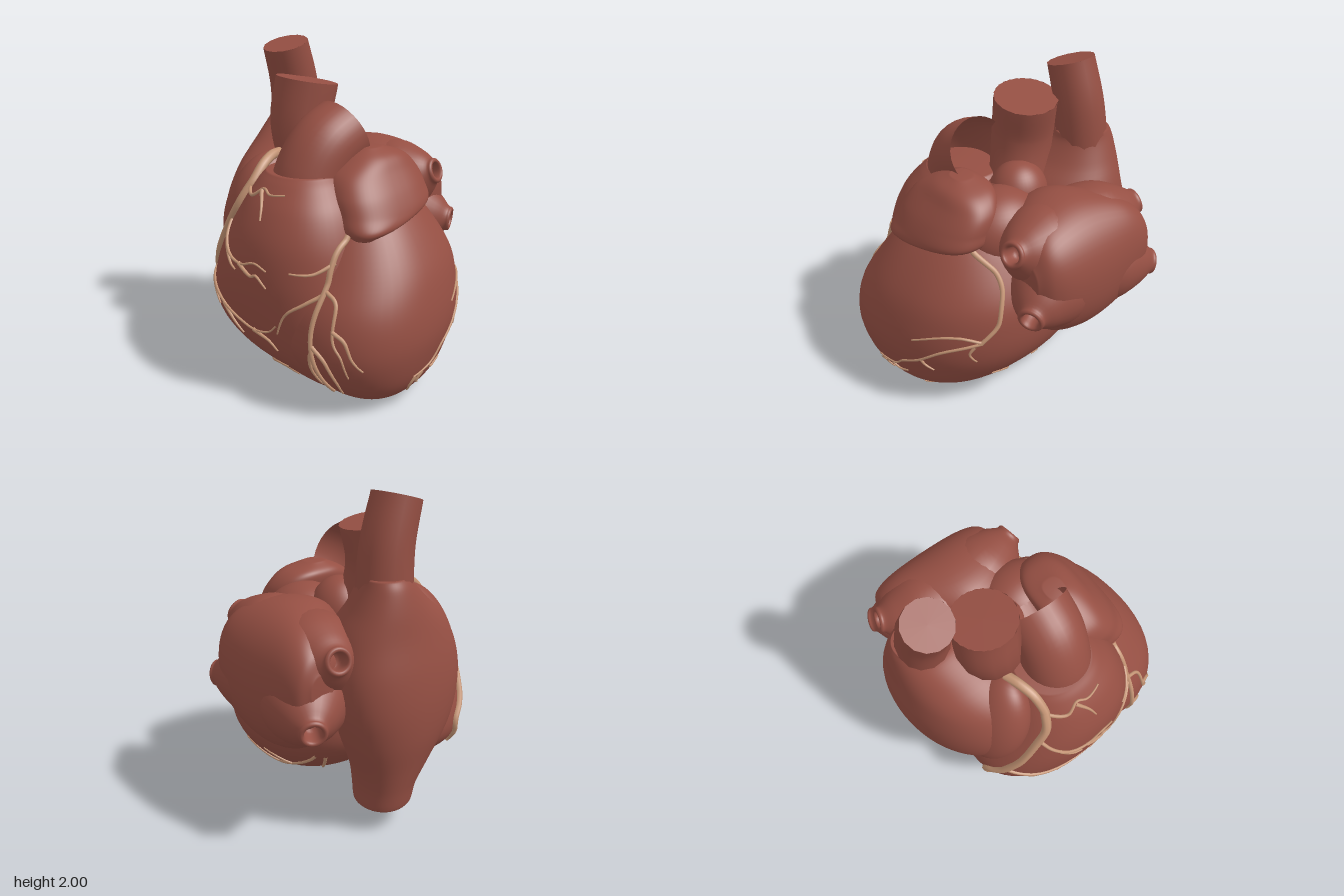
import * as THREE from 'three';

const V = (x, y, z) => new THREE.Vector3(x, y, z);

// Smooth closed body from stacked rounded sections [y, xMin, xMax, zMin, zMax];
// lean slides x along with z
function loft(sections, power = 2.2, lean = 0, rings = 60, sides = 56) {
  const spline = new THREE.CubicInterpolant(sections.map((_, i) => i), sections.flat(), 5);
  const pos = [], index = [];
  const round = (c) => Math.sign(c) * Math.abs(c) ** (2 / power);
  for (let i = 0; i <= rings; i++) {
    const [y, x0, x1, z0, z1] = spline.evaluate((i / rings) * (sections.length - 1));
    for (let j = 0; j < sides; j++) {
      const a = (j / sides) * Math.PI * 2;
      const z = (z0 + z1) / 2 + round(Math.sin(a)) * (z1 - z0) / 2;
      pos.push((x0 + x1) / 2 + round(Math.cos(a)) * (x1 - x0) / 2 + lean * z, y, z);
      if (i < rings) {
        const p = i * sides + j, q = i * sides + (j + 1) % sides;
        index.push(p, p + sides, q, q, p + sides, q + sides);
      }
    }
  }
  const bottom = pos.length / 3, last = rings * sides;
  for (const [y, x0, x1, z0, z1] of [sections[0], sections[sections.length - 1]]) {
    const z = (z0 + z1) / 2;
    pos.push((x0 + x1) / 2 + lean * z, y, z);
  }
  for (let j = 0; j < sides; j++) {
    const k = (j + 1) % sides;
    index.push(bottom, j, k, bottom + 1, last + k, last + j);
  }
  const g = new THREE.BufferGeometry();
  g.setAttribute('position', new THREE.Float32BufferAttribute(pos, 3));
  g.setIndex(index);
  g.computeVertexNormals();
  return g;
}

// Tube whose radius runs from r0 to r1
function taperedTube(curve, r0, r1, segments, sides) {
  const g = new THREE.TubeGeometry(curve, segments, 1, sides);
  const p = g.attributes.position, v = V();
  for (let i = 0; i <= segments; i++) {
    const c = curve.getPointAt(i / segments), r = THREE.MathUtils.lerp(r0, r1, i / segments);
    for (let j = 0; j <= sides; j++) {
      const k = i * (sides + 1) + j;
      v.fromBufferAttribute(p, k).sub(c).multiplyScalar(r).add(c);
      p.setXYZ(k, v.x, v.y, v.z);
    }
  }
  return g;
}

export function createModel() {
  const heart = new THREE.Group();
  heart.name = 'heart';
  const muscle = new THREE.MeshStandardMaterial({ color: 0x954f43, side: THREE.DoubleSide });
  muscle.name = 'muscleRed';
  const artery = new THREE.MeshStandardMaterial({ color: 0xc49474 });
  artery.name = 'arteryTan';
  const add = (name, geometry, material = muscle, parent = heart) => {
    const m = new THREE.Mesh(geometry, material);
    m.name = name;
    parent.add(m);
    return m;
  };
  const ball = (name, at, size, tilt = 0) => {
    const m = add(name, new THREE.SphereGeometry(1, 40, 28));
    m.position.set(...at);
    m.scale.set(...size);
    m.rotation.z = tilt;
    return m;
  };

  // Ventricles
  const leftVentricle = add('leftVentricle', loft([
    [0.005, 0.38, 0.55, 0.02, 0.24], [0.05, 0.15, 0.67, -0.15, 0.45], [0.15, -0.1, 0.755, -0.33, 0.59],
    [0.3, -0.3, 0.805, -0.47, 0.69], [0.45, -0.4, 0.825, -0.55, 0.715], [0.62, -0.42, 0.805, -0.57, 0.68],
    [0.8, -0.4, 0.745, -0.54, 0.58], [1.0, -0.35, 0.62, -0.42, 0.46], [1.15, -0.25, 0.48, -0.3, 0.36],
    [1.27, -0.1, 0.3, -0.15, 0.25]], 2.3, 0.14));
  const rightVentricle = add('rightVentricle', loft([
    [0.025, 0.2, 0.52, 0.15, 0.38], [0.08, 0.02, 0.59, 0.05, 0.52], [0.15, -0.22, 0.62, 0, 0.6],
    [0.25, -0.46, 0.63, -0.05, 0.69], [0.38, -0.6, 0.61, -0.08, 0.75], [0.55, -0.61, 0.57, -0.1, 0.785],
    [0.75, -0.53, 0.52, -0.1, 0.795], [0.95, -0.42, 0.47, -0.08, 0.765], [1.12, -0.33, 0.4, -0.02, 0.69],
    [1.24, -0.26, 0.31, 0.05, 0.6], [1.3, -0.21, 0.25, 0.1, 0.54]]));

  // Right atrium, running down into the hollow end of the lower vein
  const rightAtrium = add('rightAtrium', loft([
    [0.24, -0.64, -0.4, -0.22, 0.02], [0.17, -0.69, -0.35, -0.27, 0.07], [0.15, -0.71, -0.33, -0.29, 0.09],
    [0.27, -0.735, -0.31, -0.3, 0.12], [0.4, -0.77, -0.28, -0.33, 0.24], [0.6, -0.82, -0.2, -0.4, 0.44],
    [0.8, -0.835, -0.15, -0.45, 0.53], [1.0, -0.82, -0.12, -0.46, 0.53], [1.2, -0.78, -0.14, -0.42, 0.42],
    [1.36, -0.745, -0.27, -0.35, 0.2], [1.48, -0.71, -0.35, -0.3, 0.05], [1.54, -0.68, -0.37, -0.28, 0]],
  2.1, 0.19));
  const rightAuricle = ball('rightAuricle', [-0.41, 0.95, 0.31], [0.19, 0.42, 0.26], -0.34);

  // Left atrium: pillow lofted sideways, sections [x, -yMax, -yMin, zMin, zMax]
  add('leftAtrium', loft([
    [-0.59, -1.08, -0.9, -0.68, -0.54], [-0.54, -1.2, -0.74, -0.75, -0.42], [-0.4, -1.3, -0.57, -0.785, -0.28],
    [-0.15, -1.36, -0.46, -0.8, -0.05], [0.08, -1.33, -0.52, -0.785, -0.12], [0.21, -1.25, -0.67, -0.74, -0.32],
    [0.28, -1.12, -0.86, -0.66, -0.47]]).rotateZ(-Math.PI / 2));
  // Left auricle and the wall joining it to the atrium
  add('leftAuricle', loft([
    [0.985, 0.36, 0.56, 0.26, 0.4], [1.03, 0.27, 0.605, 0.02, 0.42], [1.1, 0.2, 0.59, -0.25, 0.41],
    [1.2, 0.15, 0.54, -0.28, 0.39], [1.3, 0.13, 0.47, -0.26, 0.33], [1.38, 0.13, 0.41, -0.18, 0.21],
    [1.43, 0.2, 0.32, -0.03, 0.1]], 2.5));
  ball('atrialBridge', [0.12, 1.1, -0.15], [0.28, 0.25, 0.25]);

  // Four lung veins: broad flared stubs with hollow lipped ends
  const veinProfile = [[0.27, 0], [0.27, 0.25], [0.235, 0.55], [0.15, 0.8], [0.088, 0.93], [0.08, 0.98],
    [0.066, 1], [0.05, 0.97], [0.045, 0.8], [0, 0.75]];
  const veins = [
    [V(-0.1, 1.04, -0.42), V(0.35, 1.19, -0.51)], [V(-0.1, 0.88, -0.46), V(0.35, 0.82, -0.68)],
    [V(-0.2, 1.04, -0.42), V(-0.65, 1.16, -0.54)], [V(-0.2, 0.88, -0.46), V(-0.65, 0.79, -0.72)]];
  veins.forEach(([from, to], i) => {
    const axis = to.clone().sub(from), length = axis.length();
    const smooth = new THREE.SplineCurve(veinProfile.map(([r, t]) => new THREE.Vector2(r, t * length)));
    const points = smooth.getPoints(36).map((p) => p.setX(Math.max(p.x, 0)));
    const m = add('lungVein' + (i + 1), new THREE.LatheGeometry(points, 28));
    m.position.copy(from);
    m.quaternion.setFromUnitVectors(V(0, 1, 0), axis.normalize());
  });

  // Great vessels
  const vessel = (name, points, r0, r1, sides, capped) => {
    const curve = new THREE.CatmullRomCurve3(points.map((p) => V(...p)));
    add(name, taperedTube(curve, r0, r1, 24, sides));
    if (!capped) return;
    const cap = add(name + 'End', new THREE.CircleGeometry(r1, sides));
    cap.position.copy(curve.getPointAt(1));
    cap.quaternion.setFromUnitVectors(V(0, 0, 1), curve.getTangentAt(1));
  };
  vessel('upperVein', [[-0.555, 1.4, -0.14], [-0.54, 1.7, -0.105], [-0.53, 1.955, -0.03]], 0.165, 0.145, 14, true);
  vessel('aorta', [[-0.14, 1.05, 0], [-0.23, 1.3, 0.07], [-0.265, 1.52, 0.09], [-0.25, 1.765, 0.05]], 0.19, 0.195, 14, true);
  ball('aorticRoot', [-0.1, 1.2, -0.06], [0.19, 0.22, 0.18]);
  vessel('lungArtery', [[0.04, 1.08, 0.37], [0.05, 1.27, 0.32], [0.07, 1.42, 0.22], [0.08, 1.5, 0.07]], 0.21, 0.21, 32, false);

  // Coronary arteries: flat paths cast onto the heart wall
  const walls = [leftVentricle, rightVentricle, rightAtrium, rightAuricle];
  heart.updateMatrixWorld(true);
  const caster = new THREE.Raycaster();
  const casts = {
    front: (a, b) => [V(a, b, 3), V(0, 0, -1)],
    side: (a, b) => [V(3, b, a), V(-1, 0, 0)],
    below: (a, b) => [V(a, -3, b), V(0, 1, 0)],
  };
  const coronaries = new THREE.Group();
  coronaries.name = 'coronaryArteries';
  heart.add(coronaries);
  const branch = (name, view, r0, r1, path, targets = walls, start = []) => {
    const flat = new THREE.SplineCurve(path.map(([a, b]) => new THREE.Vector2(a, b)));
    const points = [...start];
    for (const p of flat.getPoints(path.length * 4)) {
      caster.set(...casts[view](p.x, p.y));
      const hit = caster.intersectObjects(targets, false)[0];
      if (hit) points.push(hit.point.addScaledVector(caster.ray.direction, -r0 * 0.4));
    }
    if (points.length < 3) return;
    add(name, taperedTube(new THREE.CatmullRomCurve3(points), r0, r1, points.length * 2, 8), artery, coronaries);
  };
  // Right main artery, springing from the aorta, and its lower run
  branch('rightCoronary', 'front', 0.032, 0.02, [[-0.2, 1.22], [-0.24, 1.1], [-0.32, 0.97], [-0.42, 0.8],
    [-0.52, 0.64], [-0.6, 0.5], [-0.585, 0.4], [-0.53, 0.32]], walls,
  [V(-0.27, 1.34, 0.26), V(-0.24, 1.345, 0.35), V(-0.21, 1.31, 0.45)]);
  branch('lowerCoronary', 'front', 0.018, 0.008, [[-0.56, 0.35], [-0.45, 0.28], [-0.3, 0.21], [-0.1, 0.13],
    [0.1, 0.085], [0.3, 0.06], [0.46, 0.05]]);
  // Left front artery in the groove
  branch('leftCoronary', 'front', 0.019, 0.01, [[0.45, 1.01], [0.455, 0.86], [0.46, 0.72], [0.45, 0.5], [0.47, 0.3], [0.49, 0.12]]);
  const frontTwigs = [
    [[-0.21, 1.2], [-0.1, 1.18], [-0.02, 1.23], [0.05, 1.21], [0.15, 1.22]],
    [[-0.03, 1.22], [0.03, 1.15], [0.06, 1.08]],
    [[-0.3, 1.01], [-0.25, 0.92], [-0.15, 0.84], [-0.03, 0.82], [0.08, 0.85], [0.17, 0.82]],
    [[-0.05, 0.82], [0.05, 0.77], [0.1, 0.78], [0.17, 0.72]],
    [[-0.22, 0.89], [-0.14, 0.8], [-0.08, 0.77]],
    [[-0.53, 0.63], [-0.4, 0.57], [-0.25, 0.5], [-0.1, 0.45], [0.03, 0.42], [0.15, 0.44], [0.22, 0.5]],
    [[-0.42, 0.58], [-0.38, 0.5], [-0.34, 0.45]],
    [[-0.25, 0.5], [-0.16, 0.4], [-0.1, 0.34]],
    [[0.03, 0.42], [0.14, 0.38], [0.19, 0.32]],
    [[-0.2, 0.16], [-0.05, 0.14], [0.05, 0.18], [0.2, 0.19]],
    [[0.03, 0.17], [0.1, 0.13], [0.2, 0.11]],
    [[0.46, 0.72], [0.38, 0.66], [0.28, 0.58], [0.22, 0.45]],
    [[0.46, 0.88], [0.4, 0.83], [0.3, 0.83]],
    [[0.46, 0.74], [0.55, 0.68], [0.58, 0.5], [0.63, 0.4], [0.65, 0.28]],
    [[0.57, 0.55], [0.64, 0.5], [0.68, 0.4], [0.72, 0.33]],
    [[0.46, 0.44], [0.54, 0.36], [0.57, 0.22], [0.55, 0.12]],
    [[0.45, 0.4], [0.43, 0.28], [0.44, 0.16]]];
  frontTwigs.forEach((p, i) => branch('frontTwig' + (i + 1), 'front', 0.013, 0.005, p));
  // Artery round the left side
  branch('sideCoronary', 'side', 0.018, 0.012, [[-0.24, 1.1], [-0.37, 1.0], [-0.46, 0.87], [-0.5, 0.72], [-0.46, 0.6]], [leftVentricle]);
  const sideTwigs = [
    [[-0.46, 0.6], [-0.3, 0.52], [-0.15, 0.4], [-0.02, 0.32], [0.08, 0.23], [0.24, 0.2]],
    [[-0.46, 0.61], [-0.38, 0.64], [-0.27, 0.62], [-0.12, 0.55]],
    [[0.22, 0.2], [0.24, 0.14], [0.2, 0.07]],
    [[0.1, 0.22], [0.05, 0.19], [-0.03, 0.22]],
    [[0.16, 0.21], [0.19, 0.15], [0.15, 0.12]],
    [[-0.44, 0.58], [-0.42, 0.52], [-0.44, 0.46]],
    [[-0.17, 0.42], [-0.19, 0.38], [-0.23, 0.34]]];
  sideTwigs.forEach((p, i) => branch('sideTwig' + (i + 1), 'side', 0.01, 0.005, p, [leftVentricle]));
  // Arteries across the underside
  const underTwigs = [
    [[-0.28, -0.33], [-0.1, -0.2], [0.1, -0.04], [0.3, 0.12]],
    [[-0.25, -0.38], [0, -0.37], [0.2, -0.32], [0.38, -0.2], [0.5, -0.05], [0.6, 0.08], [0.68, 0.2]],
    [[0.2, -0.32], [0.3, -0.42], [0.42, -0.42]],
    [[0, -0.37], [0.06, -0.44], [0.15, -0.48]],
    [[0.38, -0.2], [0.36, -0.08], [0.42, 0.02]],
    [[0.5, -0.05], [0.6, -0.08], [0.68, -0.06]]];
  underTwigs.forEach((p, i) => branch('underTwig' + (i + 1), 'below', 0.011, 0.005, p, [leftVentricle, rightVentricle]));
  return heart;
}
